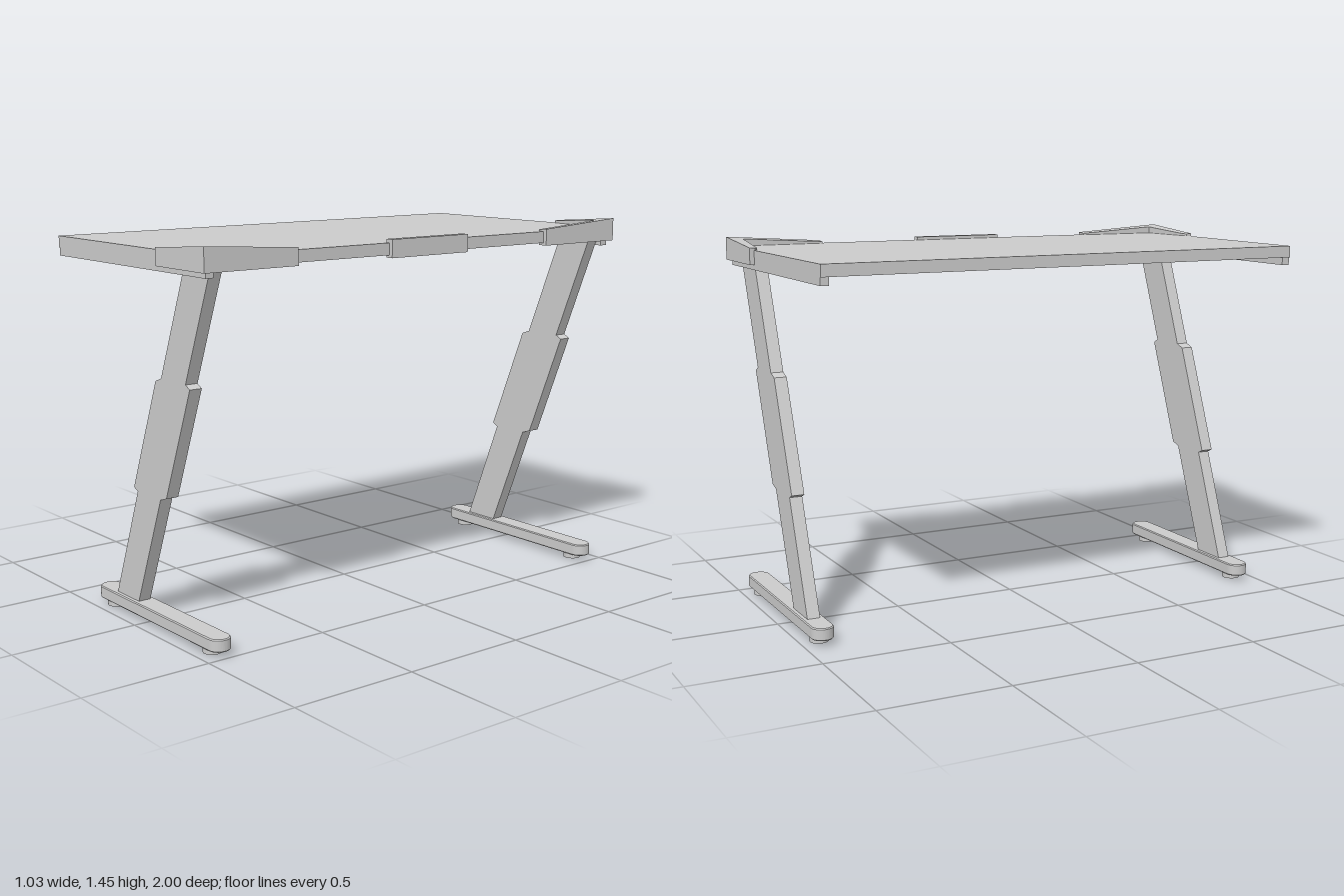
import * as THREE from 'three';

const material = new THREE.MeshStandardMaterial({ color: 0xcccccc, flatShading: true });

function add(parent, name, geometry, x = 0, y = 0, z = 0) {
  const mesh = new THREE.Mesh(geometry, material);
  mesh.name = name;
  mesh.position.set(x, y, z);
  parent.add(mesh);
  return mesh;
}

const polygon = (points) => new THREE.Shape(points.map(([x, y]) => new THREE.Vector2(x, y)));

// Box given by its limits on each axis
function addBox(parent, name, [x0, x1], [y0, y1], [z0, z1]) {
  const geometry = new THREE.BoxGeometry(x1 - x0, y1 - y0, z1 - z0);
  return add(parent, name, geometry, (x0 + x1) / 2, (y0 + y1) / 2, (z0 + z1) / 2);
}

// Slanted telescopic leg with a wider middle sleeve
function legGeometry() {
  const shape = polygon([
    [-0.205, 0.065], [-0.05, 0.065], [0.125, 0.5], [0.165, 0.512], [0.335, 0.937], [0.308, 0.951],
    [0.477, 1.372], [0.317, 1.372], [0.148, 0.951], [0.11, 0.937], [-0.06, 0.512], [-0.034, 0.5],
  ]);
  const geometry = new THREE.ExtrudeGeometry(shape, { depth: 0.05, bevelEnabled: false });
  return geometry.translate(0, 0, -0.025);
}

// Long foot with half-round ends and slightly eased edges
function footGeometry() {
  const bevel = 0.004, r = 0.043 - bevel, x0 = -0.292, x1 = 0.452;
  const shape = new THREE.Shape();
  shape.absarc(x1, 0, r, -Math.PI / 2, Math.PI / 2);
  shape.absarc(x0, 0, r, Math.PI / 2, Math.PI * 1.5);
  const geometry = new THREE.ExtrudeGeometry(shape, {
    depth: 0.048 - 2 * bevel, bevelThickness: bevel, bevelSize: bevel, bevelSegments: 1, curveSegments: 12,
  });
  return geometry.rotateX(-Math.PI / 2).translate(0, 0.022 + bevel, 0);
}

// L-shaped corner guard whose top rises towards the outer corner
function cornerGeometry(side) {
  const outline = [
    [0.21, 1], [0.515, 1], [0.515, 0.61], [0.475, 0.61], [0.466, 0.945], [0.222, 0.967], [0.21, 0.978],
  ];
  const shape = polygon(outline.map(([x, z]) => [x, -side * z]));
  const geometry = new THREE.ExtrudeGeometry(shape, { depth: 1, bevelEnabled: false });
  geometry.rotateX(-Math.PI / 2);
  const p = geometry.attributes.position;
  for (let i = 0; i < p.count; i++) {
    const x = p.getX(i), z = Math.abs(p.getZ(i));
    const top = 1.45 - 0.025 * ((0.515 - x) / 0.305 + (1 - z) / 0.39);
    p.setY(i, p.getY(i) > 0.5 ? top : 1.36);
  }
  geometry.computeVertexNormals();
  return geometry;
}

export function createModel() {
  const desk = new THREE.Group();
  desk.name = 'desk';

  // Top board and the guard in the middle of its long edge
  addBox(desk, 'tabletop', [-0.518, 0.5], [1.37, 1.415], [-0.982, 0.982]);
  addBox(desk, 'middleGuard', [0.482, 0.515], [1.36, 1.428], [-0.187, 0.187]);

  for (const side of [1, -1]) {
    const support = new THREE.Group();
    support.name = side > 0 ? 'frontSupport' : 'backSupport';
    desk.add(support);

    add(support, 'cornerGuard', cornerGeometry(side));
    // Rail under the short edge
    const z = [side * 0.95, side * 0.982].sort((a, b) => a - b);
    addBox(support, 'rail', [-0.512, 0.495], [1.34, 1.371], z);

    add(support, 'leg', legGeometry(), 0, 0, side * 0.925);
    add(support, 'foot', footGeometry(), 0, 0, side * 0.925);
    // Round pads under the foot
    for (const x of [-0.256, 0.411]) {
      add(support, 'footPad', new THREE.CylinderGeometry(0.035, 0.035, 0.024, 24), x, 0.012, side * 0.925);
    }
  }
  return desk;
}
